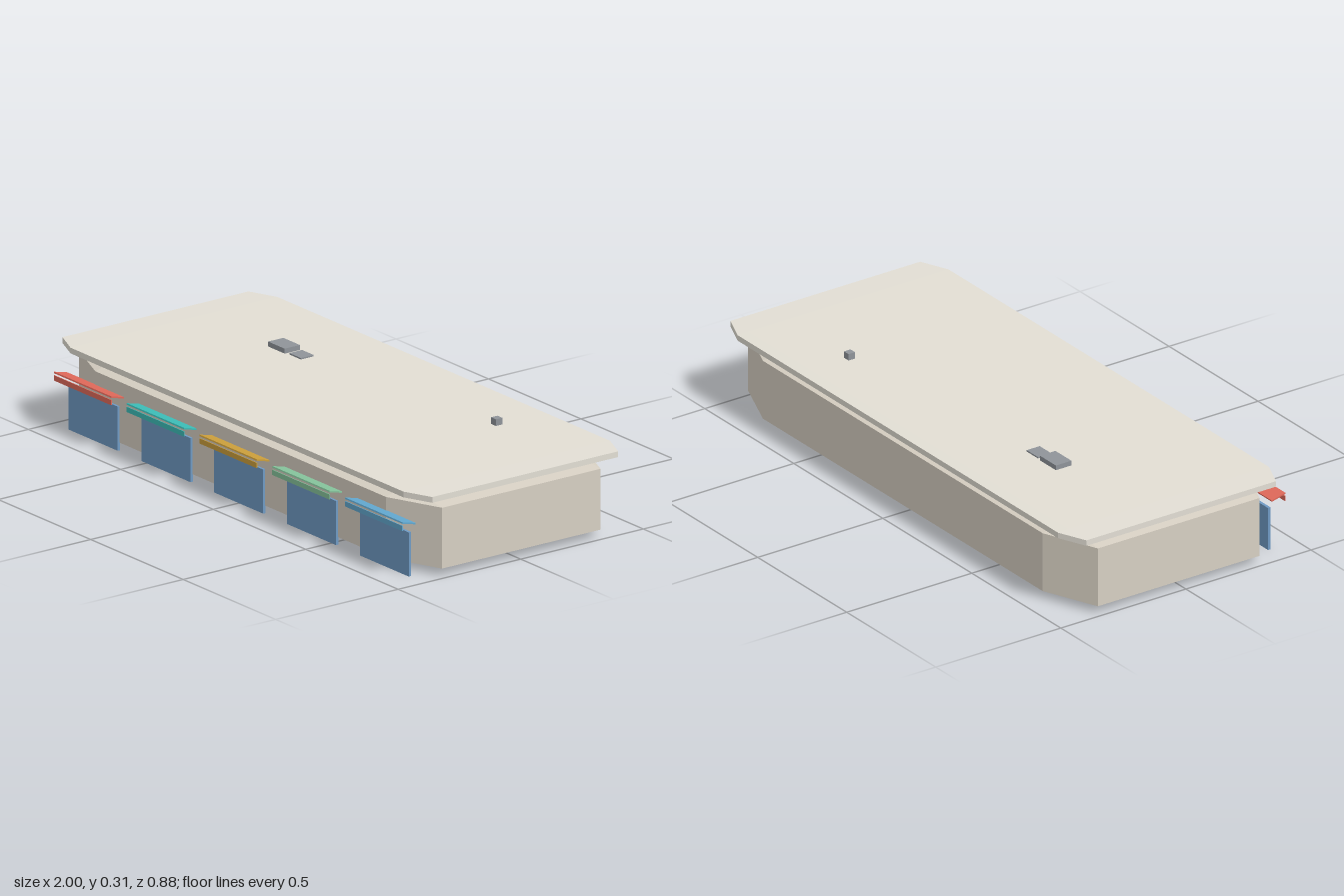
import * as THREE from 'three';
import { ConvexGeometry } from 'three/addons/geometries/ConvexGeometry.js';

const paint = (color) => new THREE.MeshStandardMaterial({ color });

function addMesh(parent, name, geometry, material, x, y, z) {
  const mesh = new THREE.Mesh(geometry, material);
  mesh.name = name;
  mesh.position.set(x, y, z);
  parent.add(mesh);
  return mesh;
}

// Box whose edges are all cut by the same fraction of each dimension
function chamferedBox(w, h, d, fraction) {
  const outer = [w / 2, h / 2, d / 2];
  const inner = [w, h, d].map((size) => size * (0.5 - fraction));
  const points = [];
  for (const sx of [-1, 1]) for (const sy of [-1, 1]) for (const sz of [-1, 1]) {
    for (let axis = 0; axis < 3; axis++) {
      const p = inner.map((v, i) => (i === axis ? outer[i] : v));
      points.push(new THREE.Vector3(p[0] * sx, p[1] * sy, p[2] * sz));
    }
  }
  return new ConvexGeometry(points);
}

export function createModel() {
  const model = new THREE.Group();
  model.name = 'shopRow';

  const wallPaint = paint(0xd6cfc2);
  const roofPaint = paint(0xe2ded4);
  const glassPaint = paint(0x6f9ac4);
  const metalPaint = paint(0x8f9499);

  // Building and overhanging roof slab
  addMesh(model, 'building', chamferedBox(1.964, 0.262, 0.808, 0.1), wallPaint, 0, 0.131, -0.016);
  addMesh(model, 'roofSlab', chamferedBox(2, 0.022, 0.843, 0.05), roofPaint, 0, 0.279, -0.0185);

  // Shop fronts: window panel, tilted awning and its hanging valance
  const windowPanel = new THREE.BoxGeometry(0.265, 0.152, 0.01);
  const awningSlab = new THREE.BoxGeometry(0.31, 0.005, 0.056);
  const valance = new THREE.BoxGeometry(0.31, 0.018, 0.003);
  [0xe0695a, 0x3dbdb8, 0xcc9f3c, 0x86c49c, 0x62a8cf].forEach((color, i) => {
    const shop = new THREE.Group();
    shop.name = 'shopFront' + (i + 1);
    shop.position.x = (i - 2) * 0.3935;
    const awningPaint = paint(color);
    addMesh(shop, 'windowPanel', windowPanel, glassPaint, 0, 0.076, 0.391);
    addMesh(shop, 'awning', awningSlab, awningPaint, 0, 0.193, 0.412).rotation.x = -0.24;
    addMesh(shop, 'valance', valance, awningPaint, 0, 0.181, 0.4385);
    model.add(shop);
  });

  // Rooftop equipment, from the building top up through the slab
  const equipment = [
    ['largeRoofUnit', -0.475, -0.147, 0.09, 0.062, 0.307, metalPaint],
    ['smallRoofUnit', -0.383, -0.149, 0.063, 0.052, 0.295, metalPaint],
    ['roofVent', 0.548, -0.243, 0.026, 0.026, 0.313, metalPaint],
    ['skylight', 0.392, 0.08, 0.1, 0.068, 0.277, glassPaint],
  ];
  for (const [name, x, z, w, d, top, material] of equipment) {
    const base = 0.258;
    addMesh(model, name, new THREE.BoxGeometry(w, top - base, d), material, x, (top + base) / 2, z);
  }
  return model;
}
